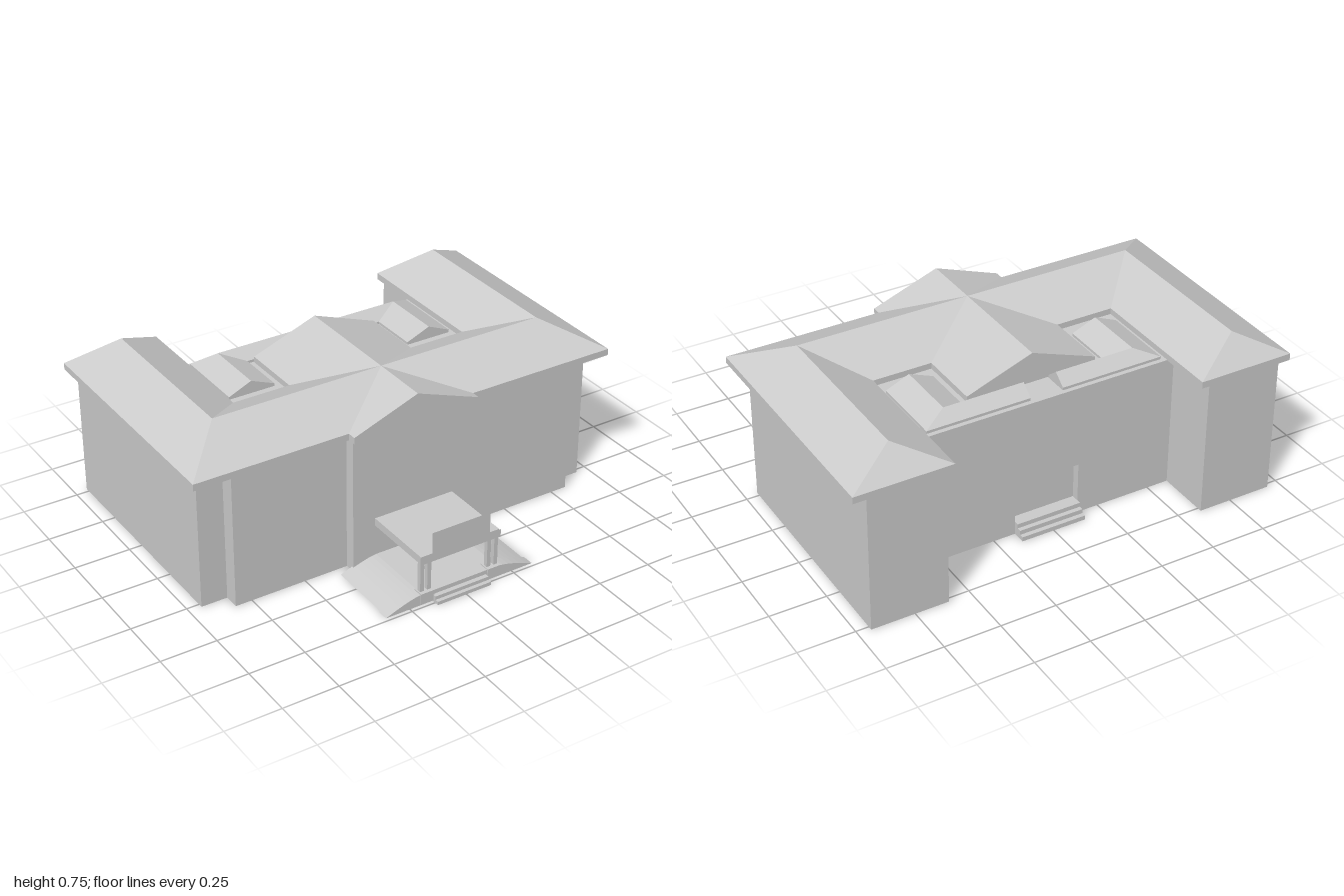
import * as THREE from 'three';

const mat = new THREE.MeshStandardMaterial({ color: 0xcccccc, side: THREE.DoubleSide, flatShading: true });

function add(parent, name, geo, x = 0, y = 0, z = 0) {
  const m = new THREE.Mesh(geo, mat);
  m.name = name;
  m.position.set(x, y, z);
  parent.add(m);
  return m;
}

// box given by its limits
function box(parent, name, x0, x1, y0, y1, z0, z1) {
  return add(parent, name, new THREE.BoxGeometry(x1 - x0, y1 - y0, z1 - z0),
    (x0 + x1) / 2, (y0 + y1) / 2, (z0 + z1) / 2);
}

// convex flat polygons for the +x half, mirrored onto the -x half
function mirrored(polys) {
  const v = [];
  for (const s of [1, -1]) {
    for (const poly of polys) {
      const p = poly.map(([x, y, z]) => [s * x, y, z]);
      if (s < 0) p.reverse();
      for (let i = 1; i < p.length - 1; i++) v.push(...p[0], ...p[i], ...p[i + 1]);
    }
  }
  const g = new THREE.BufferGeometry();
  g.setAttribute('position', new THREE.Float32BufferAttribute(v, 3));
  g.computeVertexNormals();
  return g;
}

// upright strips along a plan path of [x, z]
function strips(path, y0, y1) {
  return path.slice(1).map(([bx, bz], i) => {
    const [ax, az] = path[i];
    return [[ax, y0, az], [bx, y0, bz], [bx, y1, bz], [ax, y1, az]];
  });
}

const shapeOf = (pts) => new THREE.Shape(pts.map(([x, y]) => new THREE.Vector2(x, y)));

export function createModel() {
  const g = new THREE.Group();
  g.name = 'building';
  const S = 0.615, E = 0.645, R = 0.755; // soffit, eave and ridge heights

  // Outer walls, open below
  const walls = [[0, 0.39], [0.3, 0.39], [0.3, 0.34], [0.825, 0.34], [0.825, 0.27],
    [0.943, 0.27], [0.943, -0.77], [0.6, -0.77], [0.6, -0.52]];
  add(g, 'walls', mirrored(strips(walls, 0, S)));

  // Courtyard wall with a recessed doorway
  const court = shapeOf([[-0.6, 0], [0.6, 0], [0.6, S], [-0.6, S]]);
  court.holes.push(new THREE.Path([[-0.15, 0.06], [-0.15, 0.24], [0.15, 0.24], [0.15, 0.06]]
    .map(([x, y]) => new THREE.Vector2(x, y))));
  add(g, 'courtWall', new THREE.ExtrudeGeometry(court, { depth: 0.04, bevelEnabled: false }), 0, 0, -0.52);
  box(g, 'backDoor', -0.15, 0.15, 0.06, 0.24, -0.485, -0.48);

  // Hipped U-shaped roof with a cross gable
  add(g, 'roof', mirrored([
    [[1, E, 0.36], [1, E, -0.77], [0.785, R, -0.65], [0.785, R, 0.13]],
    [[1, E, -0.77], [0.565, E, -0.77], [0.785, R, -0.65]],
    [[0.565, E, -0.77], [0.565, E, -0.1], [0.785, R, 0.13], [0.785, R, -0.65]],
    [[0.3, E, 0.36], [1, E, 0.36], [0.785, R, 0.13], [0, R, 0.13]],
    [[0.565, E, -0.1], [0.3, E, -0.1], [0, R, 0.13], [0.785, R, 0.13]],
    [[0.3, E, 0.4], [0.3, E, -0.39], [0, R, -0.39], [0, R, 0.4]],
    [[0, E, 0.4], [0.3, E, 0.4], [0, R, 0.4]],
    [[0.3, E, -0.39], [0, E, -0.39], [0, R, -0.39]],
  ]));

  // Fascia and soffit follow the eaves
  const eaves = [[0, 0.4], [0.3, 0.4], [0.3, 0.36], [1, 0.36], [1, -0.77], [0.565, -0.77],
    [0.565, -0.1], [0.3, -0.1], [0.3, -0.39], [0, -0.39]];
  add(g, 'fascia', mirrored(strips(eaves, S, E)));
  const plan = [...eaves, ...eaves.slice(1, -1).reverse().map(([x, z]) => [-x, z])];
  const soffit = add(g, 'soffit', new THREE.ShapeGeometry(shapeOf(plan)), 0, S, 0);
  soffit.rotation.x = Math.PI / 2;

  // Flat courtyard roof with a pair of L-shaped gabled lights
  box(g, 'flatRoof', -0.6, 0.6, S - 0.012, S + 0.003, -0.525, -0.1);
  const b = 0.63, p = 0.675;
  add(g, 'roofLights', mirrored([
    [[0.545, b, -0.505], [0.075, b, -0.505], [0.075, p, -0.45], [0.44, p, -0.45]],
    [[0.075, b, -0.395], [0.33, b, -0.395], [0.44, p, -0.45], [0.075, p, -0.45]],
    [[0.545, b, -0.17], [0.545, b, -0.505], [0.44, p, -0.45], [0.44, p, -0.17]],
    [[0.33, b, -0.395], [0.33, b, -0.17], [0.44, p, -0.17], [0.44, p, -0.45]],
    [[0.075, b, -0.505], [0.075, b, -0.395], [0.075, p, -0.45]],
    [[0.33, b, -0.17], [0.545, b, -0.17], [0.44, p, -0.17]],
    ...strips([[0.075, -0.505], [0.075, -0.395], [0.33, -0.395], [0.33, -0.17],
      [0.545, -0.17], [0.545, -0.505], [0.075, -0.505]], S, b),
  ]));

  // Blank panel on the front gable
  add(g, 'gablePanel', new THREE.PlaneGeometry(0.3, 0.08), -0.005, 0.612, 0.41);

  // Ramped porch floor with a front curb
  const ramp = new THREE.Shape();
  ramp.moveTo(-0.355, 0);
  ramp.quadraticCurveTo(-0.25, 0.042, -0.19, 0.048);
  ramp.lineTo(0.18, 0.048);
  ramp.quadraticCurveTo(0.24, 0.042, 0.345, 0);
  const rampGeo = (depth) => new THREE.ExtrudeGeometry(ramp, { depth, bevelEnabled: false, curveSegments: 6 });
  add(g, 'porchRamp', rampGeo(0.34), 0, 0, 0.38);
  add(g, 'porchCurb', rampGeo(0.05), 0, 0, 0.683).scale.set(1.025, 1.06, 1);

  // Porch canopy with a thin raised front board
  box(g, 'canopy', -0.195, 0.185, 0.19, 0.225, 0.38, 0.725);
  add(g, 'canopyBoard', new THREE.ShapeGeometry(shapeOf([[-0.2, 0.19], [0.19, 0.19], [0.19, 0.225],
    [0.135, 0.225], [0.135, 0.325], [-0.145, 0.325], [-0.145, 0.225], [-0.2, 0.225]])), 0, 0, 0.73);

  // Paired porch columns on pedestals
  for (const s of [-1, 1]) {
    const cx = -0.005 + s * 0.163;
    box(g, 'pedestal', cx - 0.032, cx + 0.032, 0.005, 0.055, 0.688, 0.738);
    for (const d of [-0.017, 0.017]) {
      box(g, 'porchColumn', cx + d - 0.009, cx + d + 0.009, 0.05, 0.195, 0.701, 0.721);
    }
  }

  // Front and back steps
  for (let i = 0; i < 2; i++) {
    box(g, 'frontStep', -0.14, 0.12, 0, 0.016 * (i + 1), 0.72, 0.77 - 0.017 * i);
  }
  for (let i = 0; i < 3; i++) {
    box(g, 'backStep', -0.15, 0.15, 0, 0.02 * (i + 1), -0.58 + 0.02 * i, -0.51);
  }
  return g;
}
